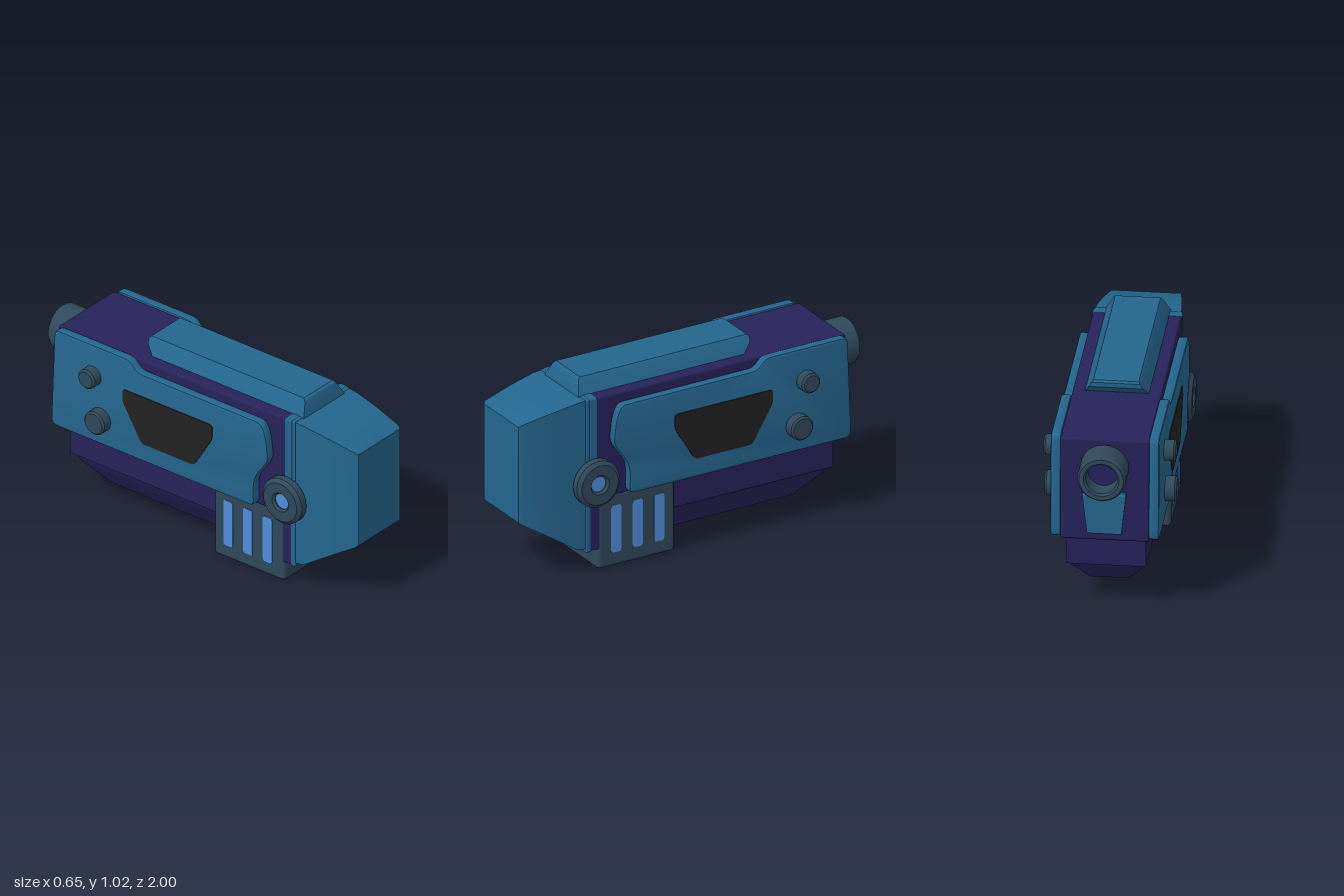
import * as THREE from 'three';
import { toCreasedNormals } from 'three/addons/utils/BufferGeometryUtils.js';
import { RoundedBoxGeometry } from 'three/addons/geometries/RoundedBoxGeometry.js';

const material = (name, color) => {
  const m = new THREE.MeshStandardMaterial({ color });
  m.name = name;
  return m;
};

// Rectangular sections [level, halfWidth, v0, v1] stacked along y or z
function loft(axis, levels) {
  const rings = levels.map(([l, hx, v0, v1]) => {
    const p = (u, v) => (axis === 'y' ? [u, l, v] : [u, v, l]);
    const [a, b] = axis === 'y' ? [v1, v0] : [v0, v1];
    return [p(hx, a), p(hx, b), p(-hx, b), p(-hx, a)];
  });
  const pos = [];
  const quad = (a, b, c, d) => pos.push(...a, ...b, ...c, ...a, ...c, ...d);
  for (let r = 0; r < rings.length - 1; r++) {
    for (let i = 0; i < 4; i++) {
      const j = (i + 1) % 4;
      quad(rings[r][i], rings[r][j], rings[r + 1][j], rings[r + 1][i]);
    }
  }
  const first = rings[0], last = rings[rings.length - 1];
  quad(first[3], first[2], first[1], first[0]);
  quad(...last);
  const g = new THREE.BufferGeometry();
  g.setAttribute('position', new THREE.Float32BufferAttribute(pos, 3));
  return toCreasedNormals(g, 0.5);
}

// Side-view outline of [z, y] points with softened corners, extruded along x and centred on x = 0
function sidePlate(points, thickness, bevel, radius) {
  const pts = points.map(([z, y]) => new THREE.Vector2(-z, y));
  const n = pts.length;
  const shape = new THREE.Shape();
  pts.forEach((p, i) => {
    const prev = pts[(i + n - 1) % n], next = pts[(i + 1) % n];
    const cut = (q) => p.clone().lerp(q, Math.min(0.45, radius / p.distanceTo(q)));
    const a = cut(prev), b = cut(next);
    if (i === 0) shape.moveTo(a.x, a.y);
    else shape.lineTo(a.x, a.y);
    shape.quadraticCurveTo(p.x, p.y, b.x, b.y);
  });
  shape.closePath();
  const depth = thickness - 2 * bevel;
  const g = new THREE.ExtrudeGeometry(shape, {
    depth, curveSegments: 4, bevelEnabled: bevel > 0,
    bevelThickness: bevel, bevelSize: bevel, bevelOffset: -bevel, bevelSegments: 2,
  });
  g.translate(0, 0, -depth / 2);
  g.rotateY(Math.PI / 2);
  return toCreasedNormals(g, 0.6);
}

const lathe = (points, segments = 32) => toCreasedNormals(
  new THREE.LatheGeometry(points.map(([r, y]) => new THREE.Vector2(r, y)), segments), 0.5);

export function createModel() {
  const model = new THREE.Group();
  model.name = 'device';
  const blue = material('shell blue', 0x24668f);
  const navy = material('core navy', 0x27225a);
  const slate = material('slate grey', 0x30495a);
  const black = material('window black', 0x222222);
  const light = material('light blue', 0x4f8edc);

  const add = (name, geometry, mat, x = 0, y = 0, z = 0) => {
    const mesh = new THREE.Mesh(geometry, mat);
    mesh.name = name;
    mesh.position.set(x, y, z);
    model.add(mesh);
    return mesh;
  };
  const block = (name, mat, hx, y0, y1, z0, z1, r) => add(name,
    new RoundedBoxGeometry(hx * 2, y1 - y0, z1 - z0, 2, r), mat, 0, (y0 + y1) / 2, (z0 + z1) / 2);

  // Core body and tapered lower hull
  block('coreBody', navy, 0.22, 0.39, 0.94, -0.85, 0.6, 0.012);
  block('lowerFrame', navy, 0.214, 0.115, 0.43, 0.54, 0.625, 0.008);
  add('lowerHull', loft('y', [
    [0.08, 0.1, -0.62, 0.5], [0.1, 0.11, -0.64, 0.5], [0.2, 0.18, -0.74, 0.5],
    [0.222, 0.187, -0.748, 0.5], [0.228, 0.197, -0.79, 0.5], [0.42, 0.197, -0.79, 0.5],
  ]), navy);

  // Nose, collar and top rail
  add('nose', loft('z', [
    [0.63, 0.212, 0.132, 0.937], [0.69, 0.21, 0.14, 0.932], [0.82, 0.196, 0.225, 0.908],
    [0.985, 0.173, 0.33, 0.87], [1, 0.163, 0.342, 0.86],
  ]), blue);
  block('collarFlange', blue, 0.217, 0.112, 0.94, 0.615, 0.642, 0.006);
  block('collar', blue, 0.222, 0.4, 0.942, 0.58, 0.625, 0.008);
  add('topRail', loft('y', [
    [0.935, 0.16, -0.3, 0.652], [0.945, 0.156, -0.31, 0.65], [0.985, 0.133, -0.352, 0.637],
    [1.01, 0.12, -0.354, 0.628], [1.02, 0.112, -0.345, 0.615],
  ]), blue);

  // Front grip
  block('grip', slate, 0.218, 0.004, 0.405, 0.13, 0.575, 0.022);

  // Rear barrel and rear plate
  const barrel = add('barrel', lathe([
    [0.078, 0], [0.12, 0], [0.12, 0.145], [0.11, 0.16], [0.088, 0.16], [0.078, 0.15], [0.078, 0],
  ]), slate, 0, 0.79, -0.84);
  barrel.rotation.x = -Math.PI / 2;
  const bore = add('barrelBore', new THREE.CylinderGeometry(0.08, 0.08, 0.05, 32), navy, 0, 0.79, -0.87);
  bore.rotation.x = Math.PI / 2;
  add('rearPlate', loft('y', [
    [0.437, 0.085, -0.872, -0.84], [0.645, 0.108, -0.876, -0.84], [0.657, 0.104, -0.868, -0.84],
  ]), blue);

  // Parts repeated on both sides
  const panelGeometry = sidePlate([
    [0.425, 0.4], [-0.845, 0.4], [-0.855, 0.43], [-0.835, 0.947], [-0.36, 0.947], [-0.315, 0.892],
    [0.47, 0.892], [0.5, 0.82], [0.515, 0.69], [0.43, 0.57], [0.42, 0.5],
  ], 0.052, 0.012, 0.035);
  const windowGeometry = sidePlate([
    [0.165, 0.77], [-0.4, 0.77], [-0.4, 0.7], [-0.28, 0.502], [0.05, 0.502], [0.165, 0.69],
  ], 0.008, 0, 0.02);
  const slotGeometry = sidePlate([
    [0.029, 0.128], [-0.029, 0.128], [-0.029, -0.128], [0.029, -0.128],
  ], 0.008, 0, 0.015);
  const wheelGeometry = lathe([
    [0.042, -0.035], [0.105, -0.035], [0.124, -0.018], [0.124, 0.018], [0.105, 0.035],
    [0.052, 0.035], [0.042, 0.022], [0.042, -0.035],
  ]);
  const knobGeometry = (r) => lathe([
    [0, -0.045], [r - 0.01, -0.045], [r, -0.035], [r, 0.035], [r - 0.01, 0.045], [0, 0.045],
  ], 24);
  const upperKnob = knobGeometry(0.053), lowerKnob = knobGeometry(0.064);

  for (const [label, s] of [['left', 1], ['right', -1]]) {
    const round = (name, g, mat, x, y, z) => {
      add(`${label}${name}`, g, mat, s * x, y, z).rotation.z = -s * Math.PI / 2;
    };
    add(`${label}Panel`, panelGeometry, blue, s * 0.243, 0, 0);
    add(`${label}Window`, windowGeometry, black, s * 0.269, 0, 0);
    round('UpperKnob', upperKnob, slate, 0.282, 0.775, -0.59);
    round('LowerKnob', lowerKnob, slate, 0.282, 0.543, -0.54);
    round('Wheel', wheelGeometry, slate, 0.245, 0.495, 0.6);
    round('WheelLight', new THREE.CylinderGeometry(0.044, 0.044, 0.05, 24), light, 0.237, 0.495, 0.6);
    for (const z of [0.472, 0.348, 0.224]) {
      add(`${label}GripSlot`, slotGeometry, light, s * 0.217, 0.208, z);
    }
  }
  return model;
}
